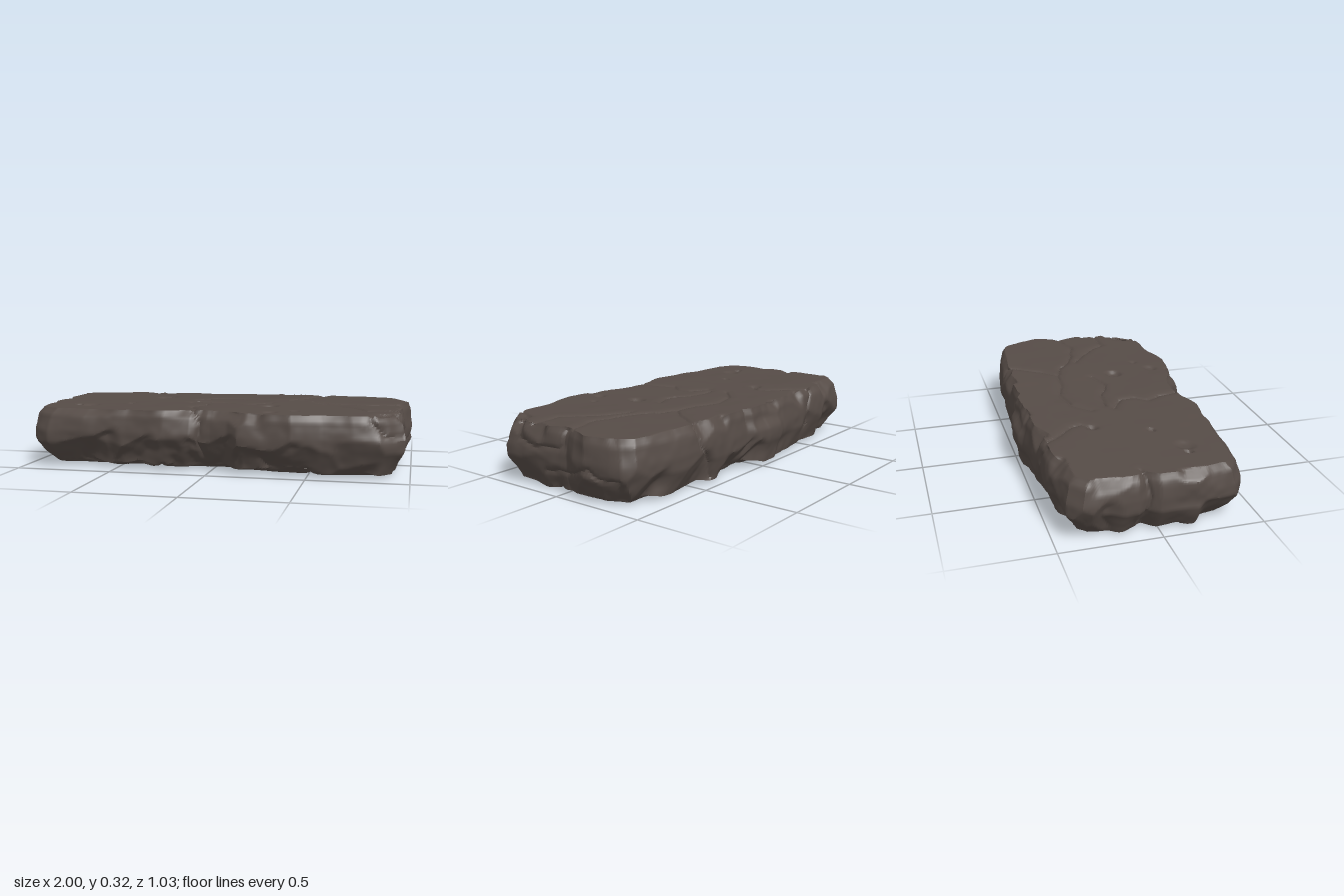
import * as THREE from 'three';
import { mergeVertices, toCreasedNormals } from 'three/addons/utils/BufferGeometryUtils.js';

// Plan outline of the slab at its widest: each edge is [position along edge, offset]
const FRONT = [[-1, .36], [-.97, .38], [-.9, .42], [-.7, .44], [-.45, .445], [-.25, .46], [-.1, .445], [-.05, .42], [0, .42], [.1, .45], [.16, .49], [.3, .5], [.44, .515], [.6, .485], [.75, .475], [.88, .455], [.93, .42], [1, .36]];
const BACK = [[-1, -.38], [-.93, -.44], [-.8, -.455], [-.65, -.475], [-.3, -.48], [-.2, -.49], [-.15, -.51], [-.03, -.52], [.08, -.51], [.13, -.48], [.5, -.485], [.7, -.465], [.95, -.42], [1, -.37]];
const LEFT = [[-.4, -.985], [-.25, -.99], [-.12, -.985], [-.07, -.96], [0, -.985], [.1, -.99], [.2, -1], [.3, -.985], [.4, -.965]];
const RIGHT = [[-.42, .96], [-.36, .975], [-.2, 1], [-.1, .98], [-.02, .95], [.05, .96], [.18, .98], [.4, .97]];

// Cracks, drawn in the plane of each face: top and bottom (x, z), ends (z, y), front and back (x, y)
const CRACKS = {
  top: [
    [[-.57, -.5], [-.48, -.38], [-.38, -.28], [-.36, -.22], [-.41, -.16]],
    [[.52, -.5], [.48, -.38], [.4, -.26], [.33, -.19], [.2, -.2], [.05, -.23], [-.1, -.21], [-.2, -.12]],
    [[-.16, -.04], [-.02, -.02], [.13, .04], [.24, 0]],
    [[.33, -.19], [.5, -.1], [.62, -.03], [.78, 0], [.92, -.04], [1, -.1]],
    [[.5, -.03], [.62, .05], [.75, .15], [.78, .2], [1, .2]],
    [[-.2, 0], [-.1, .07], [-.1, .15], [-.14, .2], [-.1, .3], [-.08, .4], [-.05, .5]],
    [[-1, -.08], [-.9, -.08]], [[.97, .28], [.84, .33], [.8, .45]],
  ],
  bottom: [
    [[-1, .1], [-.6, .04], [-.25, .1], [.05, .02], [.4, .08], [.7, 0], [1, .05]],
    [[-.25, .1], [-.3, .3], [-.2, .5]], [[.4, .08], [.55, .25], [.5, .5]],
  ],
  front: [[[-.08, .32], [-.05, .25], [-.06, .15], [-.04, .06]], [[.8, .3], [.88, .22], [1, .2]]],
  back: [[[.52, .32], [.5, .2], [.42, .1], [.4, 0]], [[-.57, .32], [-.5, .2], [-.52, .1]]],
  right: [[[-.02, .33], [-.01, .24], [.03, .21], [.18, .21], [.28, .23]], [[.1, .1], [-.02, .1], [-.1, .13], [-.2, .16], [-.3, .12], [-.42, .1]]],
  left: [[[-.08, .32], [-.06, .2], [-.1, .05]]],
};
// Pits on top: x, z, radius, depth
const PITS = [[-.78, .19, .028, .02], [-.71, .2, .06, .012], [-.51, .1, .025, .012], [.27, .13, .05, .02], [.3, .37, .045, .012], [.42, .3, .03, .01], [-.41, -.18, .035, .01], [.9, .38, .08, .02]];

const clamp = THREE.MathUtils.clamp, smooth = THREE.MathUtils.smoothstep, mix = THREE.MathUtils.lerp;

function along(points, s) {
  if (s <= points[0][0]) return points[0][1];
  for (let i = 1; i < points.length; i++) {
    const [a, p] = points[i - 1], [b, q] = points[i];
    if (s <= b) return mix(p, q, (s - a) / (b - a));
  }
  return points.at(-1)[1];
}

function hash(x, y, z) {
  let h = Math.imul(x, 374761393) ^ Math.imul(y, 668265263) ^ Math.imul(z, 1274126177);
  h = Math.imul(h ^ (h >>> 13), 1103515245);
  return ((h ^ (h >>> 16)) >>> 0) / 4294967295;
}

// Smooth value noise from -1 to 1
function noise(x, y, z) {
  const X = Math.floor(x), Y = Math.floor(y), Z = Math.floor(z);
  const f = [x - X, y - Y, z - Z].map((t) => t * t * (3 - 2 * t));
  let sum = 0;
  for (let i = 0; i < 8; i++) {
    const a = i & 1, b = (i >> 1) & 1, c = i >> 2;
    sum += hash(X + a, Y + b, Z + c) * (a ? f[0] : 1 - f[0]) * (b ? f[1] : 1 - f[1]) * (c ? f[2] : 1 - f[2]);
  }
  return sum * 2 - 1;
}

function crackDistance(lines, x, y) {
  let best = 1;
  for (const line of lines) for (let i = 1; i < line.length; i++) {
    const [ax, ay] = line[i - 1], dx = line[i][0] - ax, dy = line[i][1] - ay;
    const t = clamp(((x - ax) * dx + (y - ay) * dy) / (dx * dx + dy * dy), 0, 1);
    best = Math.min(best, Math.hypot(x - ax - dx * t, y - ay - dy * t));
  }
  return best;
}

// Shallow flat chips knocked off the upper and lower rims
function makeChips() {
  const chips = [];
  for (let i = 0; i < 54; i++) {
    const r = (k) => hash(i, k, 77);
    const s = r(1) * 2 - 1, side = i % 6, low = r(2) < .6;
    const yaw = (r(3) - .5) * .8, pitch = low ? -.3 - r(4) * .5 : .5 + r(4) * .4;
    let x, z, angle;
    if (side < 2) { x = s * .92; z = along(FRONT, x); angle = Math.PI / 2; }
    else if (side < 4) { x = s * .92; z = along(BACK, x); angle = -Math.PI / 2; }
    else { z = s * .4; x = along(side === 4 ? LEFT : RIGHT, z); angle = side === 4 ? Math.PI : 0; }
    const a = angle + yaw;
    const normal = new THREE.Vector3(Math.cos(a) * Math.cos(pitch), Math.sin(pitch), Math.sin(a) * Math.cos(pitch));
    const inset = low ? .01 + r(5) * .02 : .03;
    const point = new THREE.Vector3(x - Math.cos(angle) * inset, low ? .07 + r(6) * .06 : .29, z - Math.sin(angle) * inset);
    chips.push({ normal, point, radius: low ? .19 : .12 });
  }
  return chips;
}

function slabGeometry() {
  let geo = new THREE.BoxGeometry(2, 2, 2, 200, 24, 104);
  geo.deleteAttribute('uv');
  geo.deleteAttribute('normal');
  geo = mergeVertices(geo);
  const pos = geo.attributes.position, chips = makeChips(), faces = [], flat = [];
  const p = new THREE.Vector3(), d = new THREE.Vector3();
  for (let i = 0; i < pos.count; i++) {
    const u = pos.getX(i), v = pos.getY(i), w = pos.getZ(i), t = (v + 1) / 2;
    faces.push(v > .999 ? 'top' : v < -.999 ? 'bottom' : w > .999 ? 'front' : w < -.999 ? 'back' : u > .999 ? 'right' : 'left');
    // Rim profile: bevelled foot, upright middle, worn upper edge
    const rag = 1 + .4 * noise(u * 6, 3, w * 4);
    const foot = Math.max(0, 1 - t / .38) * rag;
    const lip = (Math.max(0, (t - .6) / .4) * .7 + smooth(t, .88, 1) * .5) * rag;
    const ledge = .035 * smooth(t, .6, .8) * Math.max(0, 1 - Math.abs(u + .02) / .2);
    const x0 = along(LEFT, w * .42) + foot * .075 + lip * .025;
    const x1 = along(RIGHT, w * .42) - foot * .025 - lip * .022;
    const z0 = along(BACK, u) + foot * .035 + lip * .027 + ledge;
    const z1 = along(FRONT, u) - foot * .045 - lip * .032;
    const x = mix(x0, x1, (u + 1) / 2), z = mix(z0, z1, (w + 1) / 2);
    p.set(x, mix(.015, .315, t), z);
    flat.push(p.clone());
    for (const chip of chips) {
      const over = d.subVectors(p, chip.point).dot(chip.normal);
      if (over > 0) {
        const near = 1 - smooth(d.length(), chip.radius * .6, chip.radius);
        p.addScaledVector(chip.normal, -Math.min(over, .028) * near);
      }
    }
    // Worn undulation: strong on the sides, slight on top
    const rough = noise(x * 8, p.y * 12, z * 8) * .008 + noise(x * 22, p.y * 26, z * 22) * .0025 - .001;
    p.x = clamp(p.x + rough * Math.sign(u) * smooth(Math.abs(u), .93, 1), -1, 1);
    p.z = clamp(p.z + rough * Math.sign(w) * smooth(Math.abs(w), .93, 1), -.52, .518);
    const rise = noise(x * 3, 9, z * 3) * .004 + noise(x * 11, 5, z * 11) * .0012 - z * .008 + x * .003;
    p.y = Math.max(.015, p.y) + rise * smooth(t, .5, 1);
    // Small lump under the right end
    p.y -= .015 * Math.exp(-(((x - .93) / .07) ** 2) - ((z - .14) / .08) ** 2) * Math.max(0, 1 - 2 * t);
    pos.setXYZ(i, p.x, p.y, p.z);
  }
  geo.computeVertexNormals();
  // Cut cracks and pits inward along the surface normal
  const normal = geo.attributes.normal;
  for (let i = 0; i < pos.count; i++) {
    const f = flat[i], face = faces[i], level = face === 'top' || face === 'bottom';
    const a = face === 'left' || face === 'right' ? f.z : f.x, b = level ? f.z : f.y;
    const wobble = noise(a * 12, b * 12, 2) * .01;
    const gap = crackDistance(CRACKS[face], a + wobble, b - wobble);
    let cut = .008 * (1 - smooth(gap, .002, .014)) + .003 * (1 - smooth(gap, .01, .045));
    if (face === 'top') {
      for (const [px, pz, r, depth] of PITS) {
        cut += depth * (1 - smooth(Math.hypot(f.x - px, f.z - pz) + wobble, r * .3, r));
      }
    }
    pos.setXYZ(i, pos.getX(i) - normal.getX(i) * cut, pos.getY(i) - normal.getY(i) * cut, pos.getZ(i) - normal.getZ(i) * cut);
  }
  geo.deleteAttribute('normal');
  return toCreasedNormals(geo, .6);
}

export function createModel() {
  const stone = new THREE.MeshStandardMaterial({ color: 0x564c47 });
  stone.name = 'dark brown stone';
  const slab = new THREE.Mesh(slabGeometry(), stone);
  slab.name = 'crackedStoneSlab';
  const group = new THREE.Group();
  group.name = 'stoneSlab';
  group.add(slab);
  return group;
}
